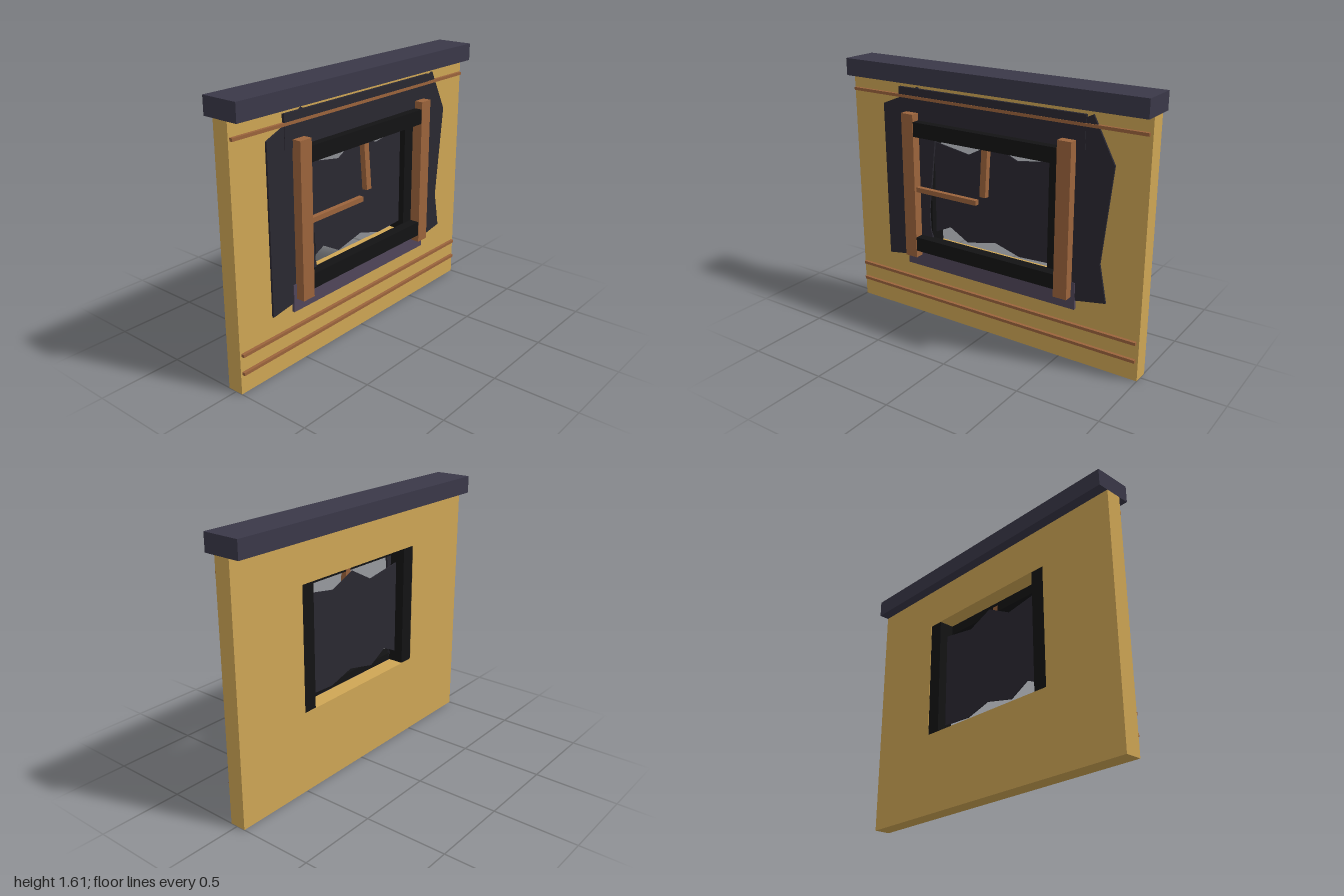
import * as THREE from 'three';

const mat = (color) => new THREE.MeshStandardMaterial({ color });
const plaster = mat(0xcfa655), wood = mat(0x9c643c), slate = mat(0x3a3848);
const cloth = mat(0x2a2831), black = mat(0x131314), sillMat = mat(0x51465a);

export function createModel() {
  const model = new THREE.Group();

  const add = (name, geometry, material) => {
    const mesh = new THREE.Mesh(geometry, material);
    mesh.name = name;
    model.add(mesh);
    return mesh;
  };

  // Box given by its extents on each axis
  const box = (name, material, [x0, x1], [y0, y1], [z0, z1]) => {
    const mesh = add(name, new THREE.BoxGeometry(x1 - x0, y1 - y0, z1 - z0), material);
    mesh.position.set((x0 + x1) / 2, (y0 + y1) / 2, (z0 + z1) / 2);
    return mesh;
  };

  // Flat panel facing +x: outline in (-z, y), thickness from x0 to x1
  const panel = (name, material, points, x0, x1, hole) => {
    const shape = new THREE.Shape(points.map(([u, v]) => new THREE.Vector2(u, v)));
    if (hole) shape.holes.push(new THREE.Path(hole.map(([u, v]) => new THREE.Vector2(u, v))));
    const g = new THREE.ExtrudeGeometry(shape, { depth: x1 - x0, bevelEnabled: false });
    g.rotateY(Math.PI / 2).translate(x0, 0, 0);
    return add(name, g, material);
  };

  // Wall with window opening, and coping on top
  panel('wall', plaster, [[-1, 0], [1, 0], [1, 1.505], [-1, 1.505]], -0.055, 0.045,
    [[-0.5, 0.5], [-0.5, 1.25], [0.5, 1.25], [0.5, 0.5]]);
  box('coping', slate, [-0.12, 0.112], [1.505, 1.61], [-1, 1]);

  // Thin rails along the wall
  for (const y of [0.125, 0.235, 1.415])
    box('rail', wood, [0.045, 0.064], [y - 0.009, y + 0.009], [-0.985, 0.99]);

  // Boards above and below the window
  box('lintelBoard', cloth, [0.045, 0.062], [1.28, 1.47], [-0.63, 0.635]);
  box('sillBoard', sillMat, [0.045, 0.062], [0.335, 0.5], [-0.6, 0.6]);

  // Window frame: jambs in the opening, beams between the posts
  for (const s of [-1, 1]) {
    box('jamb', black, [-0.052, 0.05], [0.5, 1.25], s > 0 ? [0.41, 0.5] : [-0.5, -0.41]);
    box('post', wood, [0.05, 0.115], [0.41, 1.325], s > 0 ? [0.492, 0.578] : [-0.576, -0.49]);
  }
  box('topBeam', black, [0.046, 0.112], [1.19, 1.28], [-0.53, 0.53]);
  box('bottomBeam', black, [0.046, 0.112], [0.455, 0.545], [-0.53, 0.53]);

  // Broken lattice bars
  box('brokenCrossbar', wood, [0.07, 0.1], [0.84, 0.87], [0.05, 0.5]);
  const bar = box('brokenUpright', wood, [0.055, 0.09], [0.9, 1.23], [-0.02, 0.02]);
  bar.rotation.z = 0.08;

  // Torn cloth: ragged sheet in the opening and flaps on either side
  panel('tornSheet', cloth, [
    [-0.45, 0.55], [-0.41, 0.57], [-0.3, 0.622], [-0.17, 0.55], [-0.03 + 0.06, 0.595],
    [0.2, 0.545], [0.45, 0.557], [0.45, 1.17], [0.18, 1.128], [0.01, 1.2],
    [-0.16, 1.11], [-0.37, 1.145], [-0.45, 1.16],
  ], 0.005, 0.013);
  panel('leftFlap', cloth, [
    [-0.757, 0.365], [-0.6, 0.39], [-0.4, 0.52], [-0.42, 0.6], [-0.425, 0.72],
    [-0.37, 1.2], [-0.4, 1.4], [-0.5, 1.48], [-0.63, 1.405], [-0.76, 1.352],
  ], 0.046, 0.058);
  panel('rightFlap', cloth, [
    [0.5, 0.38], [0.6, 0.392], [0.79, 0.425], [0.745, 0.65], [0.805, 1.22],
    [0.67, 1.475], [0.63, 1.455], [0.5, 1.42],
  ], 0.046, 0.058);

  return model;
}
